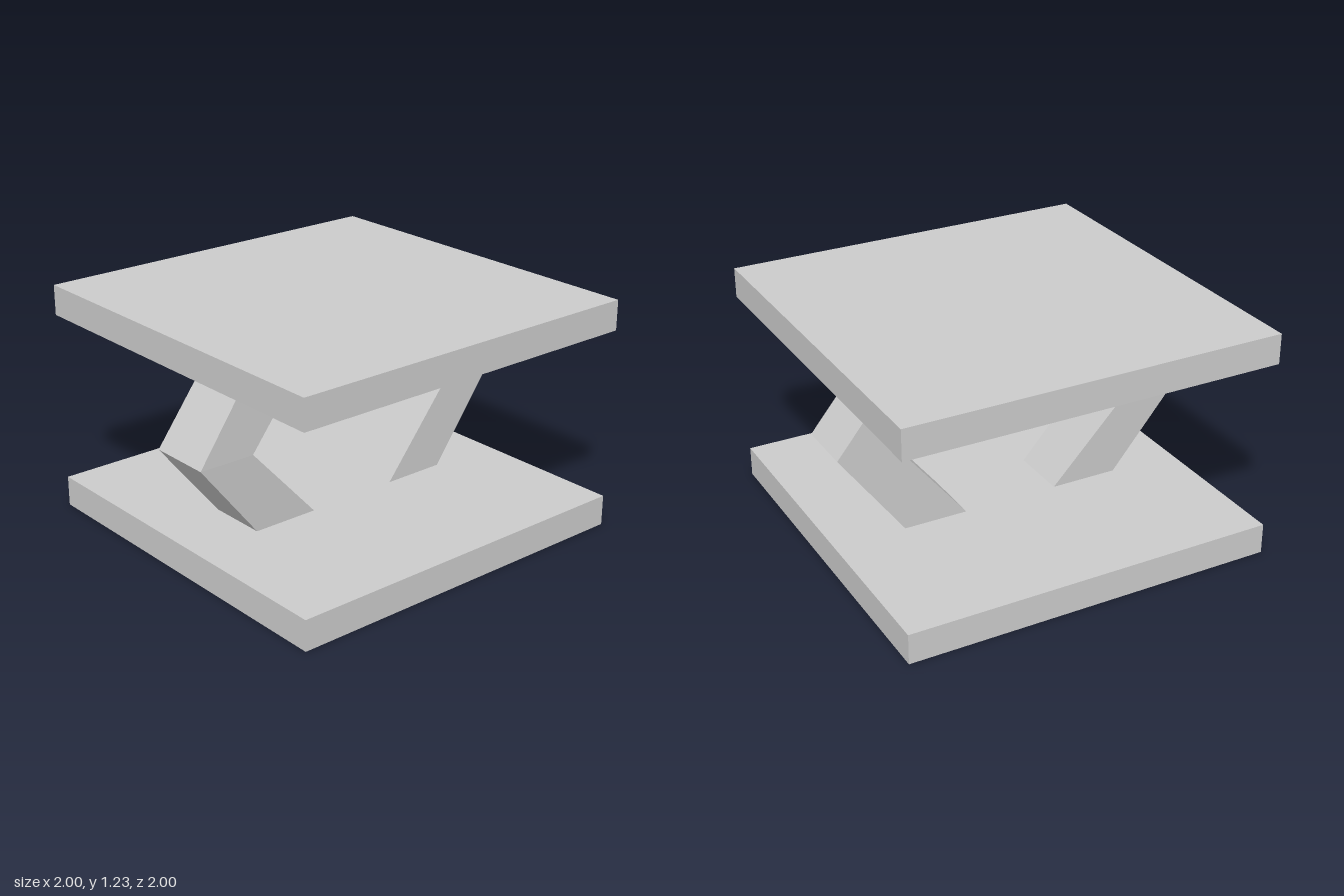
import * as THREE from 'three';

const material = new THREE.MeshStandardMaterial({ color: 0xcccccc, flatShading: true });

function addMesh(group, name, geometry) {
  const mesh = new THREE.Mesh(geometry, material);
  mesh.name = name;
  group.add(mesh);
  return mesh;
}

// Square slab: bottom height, thickness, width and centre offset
function addPlate(group, name, y, thickness, size, x, z) {
  addMesh(group, name, new THREE.BoxGeometry(size, thickness, size))
    .position.set(x, y + thickness / 2, z);
}

// Bent leg: a box in two storeys, fitted to three sections [y, xMin, xMax, zBack, zFront]
function addLeg(group, name, sections) {
  const box = new THREE.BoxGeometry(1, 2, 1, 1, 2, 1);
  const p = box.attributes.position;
  for (let i = 0; i < p.count; i++) {
    const [y, x0, x1, z0, z1] = sections[Math.round(p.getY(i)) + 1];
    p.setXYZ(i, p.getX(i) < 0 ? x0 : x1, y, p.getZ(i) < 0 ? z0 : z1);
  }
  const geometry = box.toNonIndexed();
  geometry.computeVertexNormals();
  addMesh(group, name, geometry);
}

export function createModel() {
  const model = new THREE.Group();
  model.name = 'twoTierStand';

  addPlate(model, 'basePlate', 0, 0.162, 1.99, -0.003, 0.003);
  addPlate(model, 'topPlate', 1.068, 0.16, 2, 0, 0);

  // The left leg bends a little higher than the right one
  addLeg(model, 'leftLeg', [
    [0.162, 0.26, 0.605, -0.16, 0.16],
    [0.64, 0.645, 0.955, -0.16, 0.16],
    [1.068, 0.255, 0.605, -0.16, 0.16],
  ]);
  addLeg(model, 'rightLeg', [
    [0.162, -0.625, -0.26, -0.16, 0.165],
    [0.585, -0.96, -0.648, -0.172, 0.175],
    [1.068, -0.61, -0.258, -0.16, 0.165],
  ]);
  return model;
}
